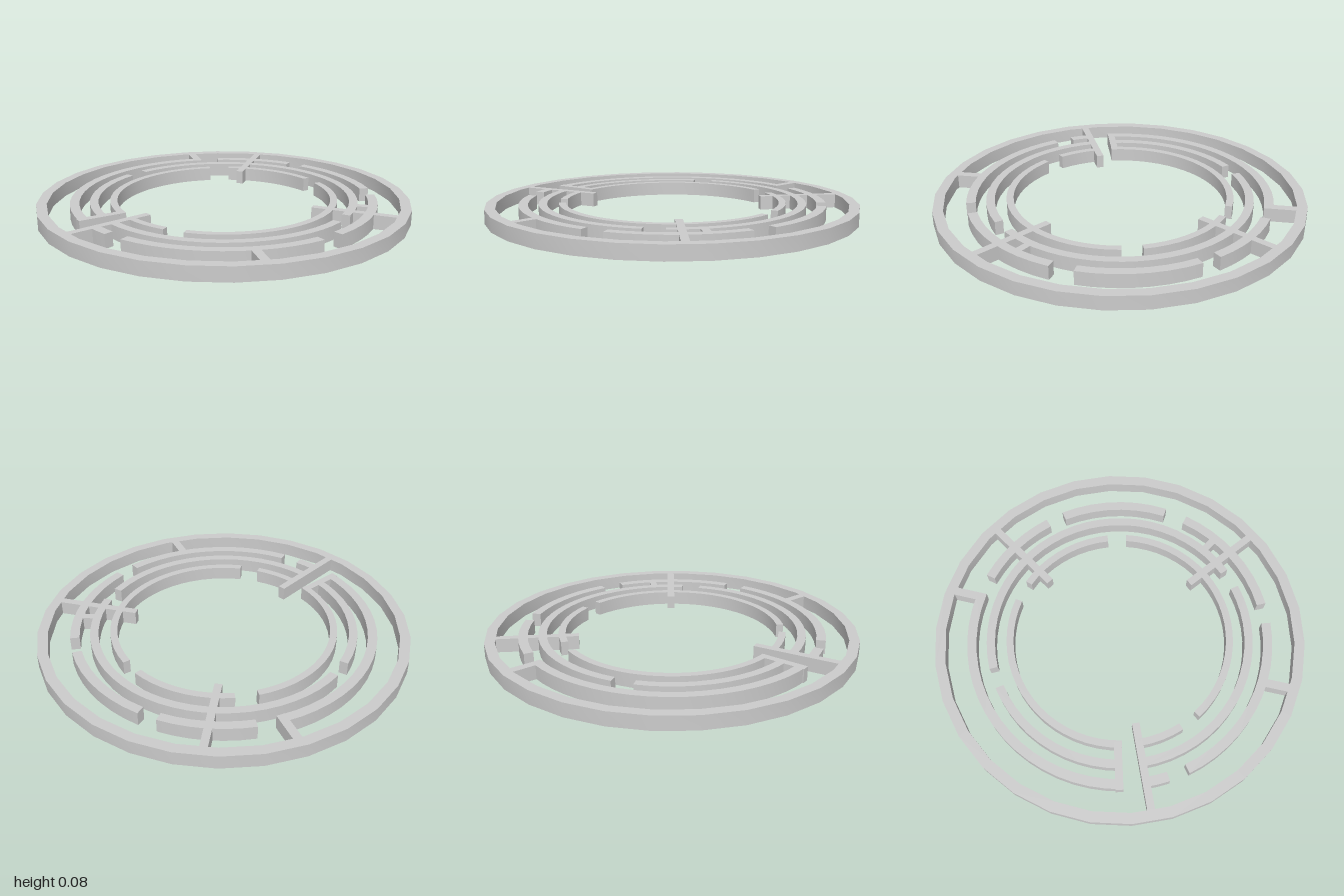
import * as THREE from 'three';
import { toCreasedNormals } from 'three/addons/utils/BufferGeometryUtils.js';

const HEIGHT = 0.075;
const material = new THREE.MeshStandardMaterial({ color: 0xcccccc });

// Plan drawings use x to the right and y towards the back (-z).
function extrudePlan(shape, name) {
  let geometry = new THREE.ExtrudeGeometry(shape, { depth: HEIGHT, bevelEnabled: false });
  geometry.rotateX(-Math.PI / 2);
  geometry = toCreasedNormals(geometry, 0.6);
  const mesh = new THREE.Mesh(geometry, material);
  mesh.name = name;
  return mesh;
}

function arcPoints(radius, from, to, steps) {
  const points = [];
  for (let i = 0; i <= steps; i++) {
    const a = THREE.MathUtils.degToRad(from + ((to - from) * i) / steps);
    points.push(new THREE.Vector2(radius * Math.cos(a), radius * Math.sin(a)));
  }
  return points;
}

// Curved wall between two radii, angles in degrees
function arcWall(inner, outer, from, to, name) {
  const steps = Math.max(2, Math.round((to - from) / 6));
  const outline = [...arcPoints(outer, from, to, steps), ...arcPoints(inner, from, to, steps).reverse()];
  return extrudePlan(new THREE.Shape(outline), name);
}

// Straight wall between two plan points
function barWall([x1, y1], [x2, y2], width, name) {
  const length = Math.hypot(x2 - x1, y2 - y1);
  const mesh = new THREE.Mesh(new THREE.BoxGeometry(length, HEIGHT, width), material);
  mesh.position.set((x1 + x2) / 2, HEIGHT / 2, -(y1 + y2) / 2);
  mesh.rotation.y = Math.atan2(y2 - y1, x2 - x1);
  mesh.name = name;
  return mesh;
}

export function createModel() {
  const model = new THREE.Group();
  model.name = 'circularMaze';

  // Closed outer rim
  const rim = new THREE.Shape(arcPoints(1, 0, 348, 29));
  rim.holes.push(new THREE.Path(arcPoints(0.945, 0, 348, 29).reverse()));
  model.add(extrudePlan(rim, 'outerRim'));

  // Concentric broken rings: radii and start/end angles
  const rings = [
    { name: 'outerRingWall', inner: 0.775, outer: 0.825,
      arcs: [[61.5, 104], [111, 144.4], [153.5, 261.7], [270, 278.5], [286, 355.8], [3.9, 52.8]] },
    { name: 'middleRingWall', inner: 0.675, outer: 0.72,
      arcs: [[23.7, 185.6], [194.6, 261], [270, 374.8]] },
    { name: 'innerRingWall', inner: 0.575, outer: 0.613,
      arcs: [[87, 138.6], [149.7, 261.5], [270, 293], [303.3, 437]] },
  ];
  for (const { name, inner, outer, arcs } of rings) {
    for (const [from, to] of arcs) model.add(arcWall(inner, outer, from, to, name));
  }

  // Long spokes reaching in from the rim
  const spokes = [
    [[0.002, -0.49], [0.002, -0.96]],
    [[-0.329, 0.385], [-0.587, 0.755]],
    [[0.433, 0.247], [0.835, 0.473]],
  ];
  for (const [a, b] of spokes) model.add(barWall(a, b, 0.04, 'spokeWall'));

  // Short walls joining the rim and rings
  model.add(barWall([-0.693, 0.345], [-0.865, 0.418], 0.045, 'rimBranch'));
  model.add(barWall([0.72, -0.39], [0.85, -0.443], 0.045, 'rimBranch'));
  model.add(barWall([-0.107, -0.57], [-0.138, -0.817], 0.04, 'ringEndWall'));
  model.add(barWall([0.55, 0.43], [0.62, 0.484], 0.04, 'ringLink'));
  return model;
}
